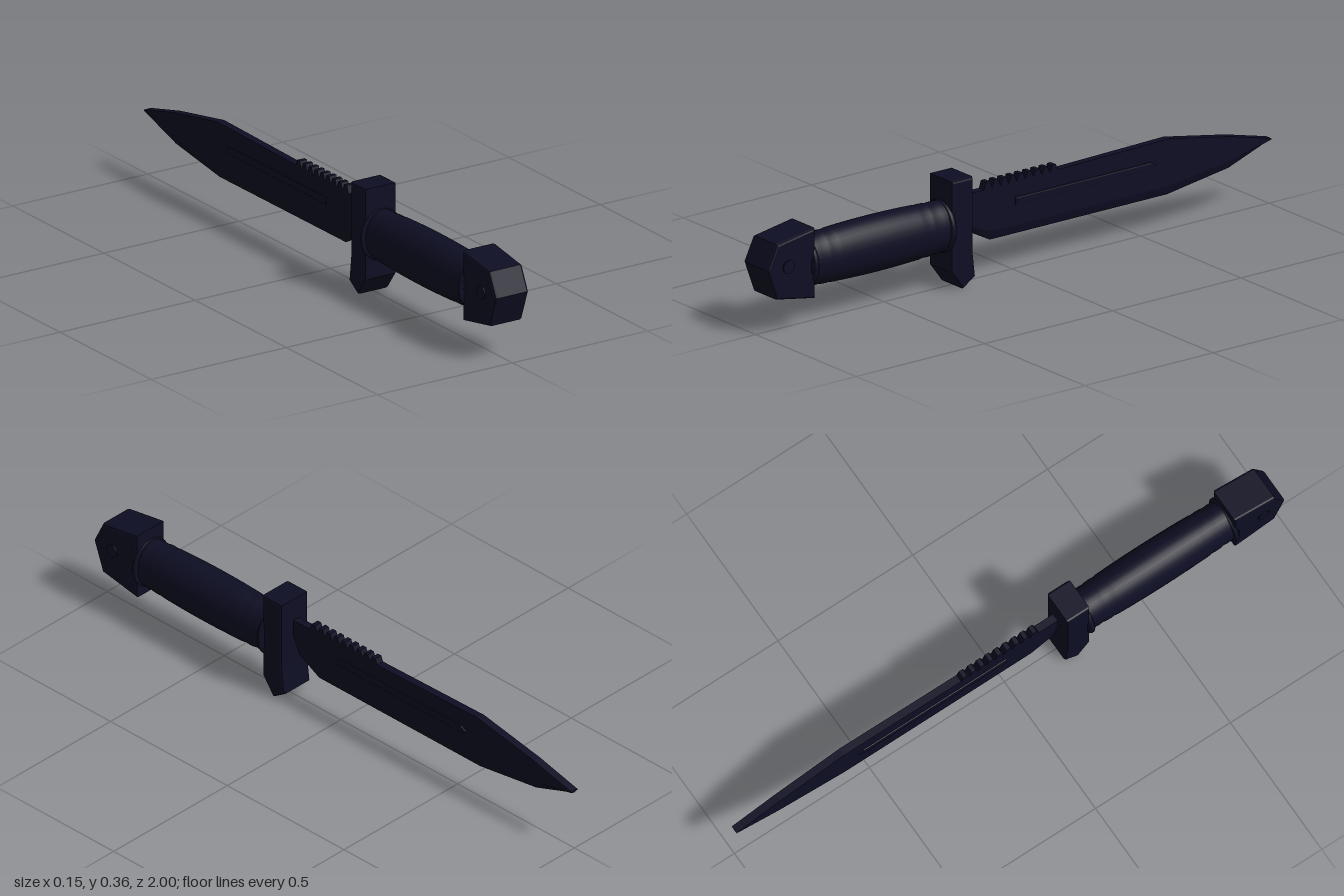
import * as THREE from 'three';

const steel = new THREE.MeshStandardMaterial({ color: 0x0e0e24 });
steel.name = 'darkNavy';

function add(group, name, geometry) {
  const mesh = new THREE.Mesh(geometry, steel);
  mesh.name = name;
  group.add(mesh);
  return mesh;
}

// Side outline given as [z, y] points, extruded across x with chamfered edges
function slab(points, halfWidth, bevel) {
  const shape = new THREE.Shape(points.map(([z, y]) => new THREE.Vector2(z, y)));
  const depth = 2 * (halfWidth - bevel);
  return new THREE.ExtrudeGeometry(shape, {
    depth, bevelEnabled: bevel > 0, bevelThickness: bevel, bevelSize: bevel,
    bevelOffset: -bevel, bevelSegments: 2,
  }).translate(0, 0, -depth / 2).rotateY(-Math.PI / 2);
}

// Oval turned part along z; profile is [radius, z], z rising
function turned(profile, xScale, y) {
  return new THREE.LatheGeometry(profile.map(([r, z]) => new THREE.Vector2(r, z)), 32)
    .rotateX(Math.PI / 2).scale(xScale, 1, 1).translate(0, y, 0);
}

// Blade lofted through sections [z, spine y, edge y, grind height]
function bladeGeometry(sections, t, e) {
  const rings = sections.map(([z, top, edge, h]) => [
    [t, top, z], [t, edge + h, z], [e, edge, z],
    [-e, edge, z], [-t, edge + h, z], [-t, top, z],
  ]);
  const out = [];
  const tri = (...corners) => corners.forEach((c) => out.push(...c));
  const n = 6;
  for (let i = 0; i < rings.length - 1; i++) {
    for (let j = 0; j < n; j++) {
      const k = (j + 1) % n;
      const a = rings[i][j], b = rings[i][k], c = rings[i + 1][k], d = rings[i + 1][j];
      tri(a, b, c);
      tri(a, c, d);
    }
  }
  const first = rings[0], last = rings[rings.length - 1];
  for (let k = 1; k < n - 1; k++) {
    tri(first[0], first[k + 1], first[k]);
    tri(last[0], last[k], last[k + 1]);
  }
  const g = new THREE.BufferGeometry();
  g.setAttribute('position', new THREE.Float32BufferAttribute(out, 3));
  g.computeVertexNormals();
  return g;
}

export function createModel() {
  const knife = new THREE.Group();
  knife.name = 'knife';

  // Blade with ground edge and clipped point
  add(knife, 'blade', bladeGeometry([
    [0.19, 0.288, 0.22, 0.01],
    [0.17, 0.288, 0.16, 0.02],
    [0.09, 0.288, 0.118, 0.03],
    [-0.17, 0.293, 0.118, 0.03],
    [-0.6, 0.301, 0.118, 0.03],
    [-0.84, 0.257, 0.153, 0.025],
    [-1, 0.217, 0.21, 0.003],
  ], 0.013, 0.003));

  // Saw teeth along the spine
  const teeth = 9, start = 0.12, pitch = 0.29 / teeth;
  for (let i = 0; i < teeth; i++) {
    const z = start - i * pitch;
    add(knife, 'sawTooth', slab([
      [z, 0.28], [z - pitch, 0.28], [z - pitch, 0.288],
      [z - pitch * 0.7, 0.312], [z - pitch * 0.25, 0.312], [z, 0.288],
    ].reverse(), 0.013, 0));
  }

  // Raised rib along both blade faces
  add(knife, 'bladeRib', slab([
    [0, 0.215], [0, 0.24], [-0.53, 0.24], [-0.55, 0.2275], [-0.53, 0.215],
  ], 0.0175, 0.004));

  // Cross guard with hooked lower end
  add(knife, 'guard', slab([
    [0.28, 0.36], [0.197, 0.36], [0.197, 0.12],
    [0.187, 0.035], [0.235, 0.003], [0.28, 0.064],
  ].reverse(), 0.058, 0.008));

  // Swelling oval grip with shallow grooves near both ends
  const grip = [[0, 0.27]];
  for (let i = 0; i <= 40; i++) {
    const u = i / 40;
    const groove = [4, 7, 33, 36].includes(i) ? 0.002 : 0;
    grip.push([0.077 + 0.014 * Math.sin(Math.PI * (0.1 + 0.8 * u)) - groove, 0.27 + 0.56 * u]);
  }
  grip.push([0, 0.83]);
  add(knife, 'grip', turned(grip, 0.78, 0.203));

  // Collars at the ends of the grip
  for (const z of [0.273, 0.808]) {
    add(knife, 'collar', turned([
      [0, z], [0.08, z], [0.084, z + 0.004], [0.084, z + 0.012], [0.08, z + 0.016], [0, z + 0.016],
    ], 0.9, 0.203));
  }

  // Faceted pommel and its cross pin
  add(knife, 'pommel', slab([
    [1, 0.225], [0.963, 0.302], [0.815, 0.326], [0.815, 0.097], [0.963, 0.123],
  ], 0.061, 0.008));
  add(knife, 'pommelPin', new THREE.CylinderGeometry(0.022, 0.022, 0.13, 20)
    .rotateZ(Math.PI / 2).translate(0, 0.222, 0.92));

  return knife;
}
